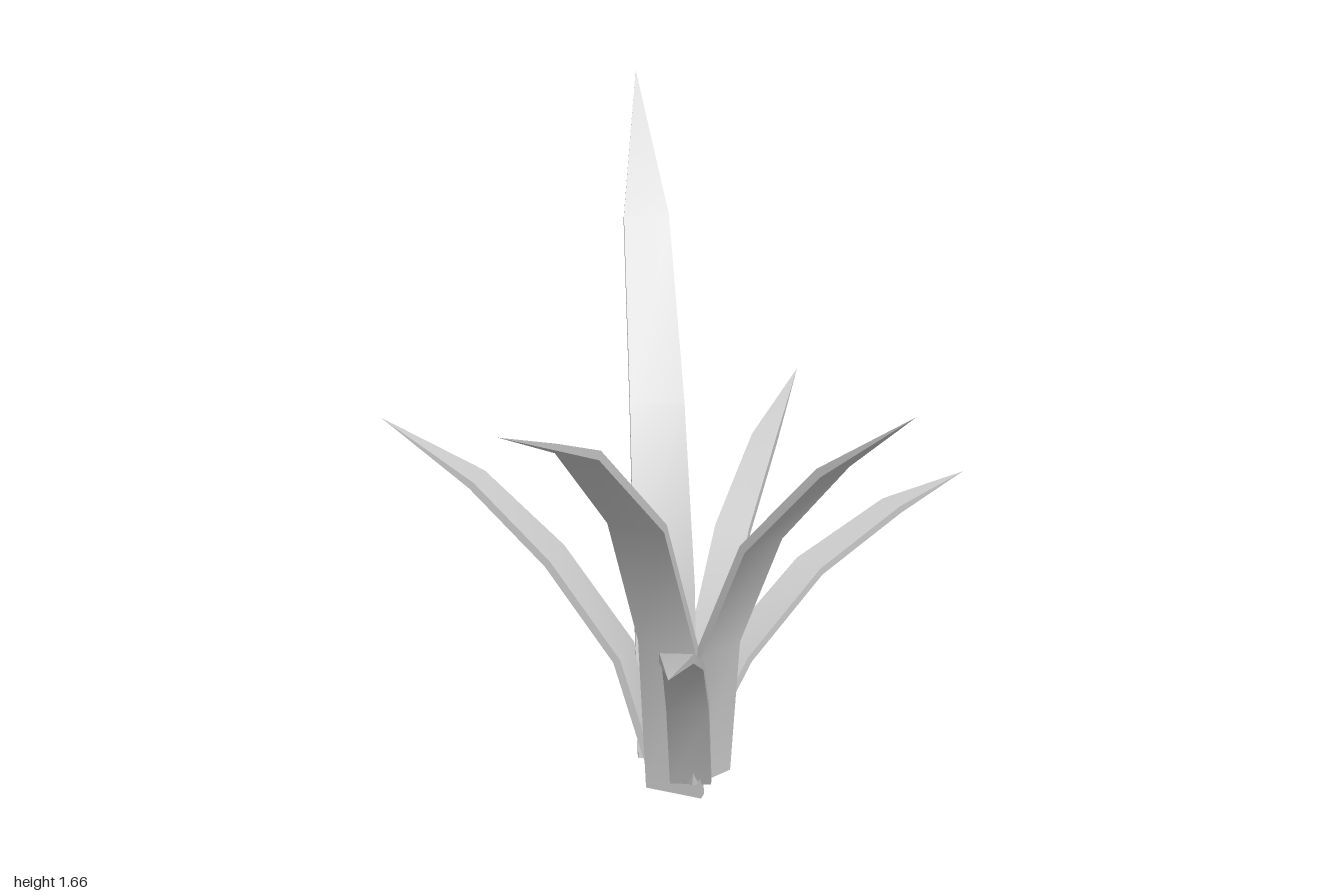
import * as THREE from 'three';
import { toCreasedNormals } from 'three/addons/utils/BufferGeometryUtils.js';

const THICKNESS = 0.022;

// base and tip: [x, z]; reach: fraction of the way out at each station;
// heights and widths: one per station (the tip has no width)
const BLADES = [
  { name: 'tallBackRightBlade', base: [-0.105, 0], tip: [-0.8, -0.53], reach: [0, 0.055, 0.28, 0.63, 1],
    heights: [0.02, 0.49, 0.94, 1.35, 1.66], widths: [0.155, 0.16, 0.143, 0.12] },
  { name: 'tallFrontBlade', base: [0.025, 0.09], tip: [0.48, 1], reach: [0, 0.045, 0.245, 0.59, 1],
    heights: [0.005, 0.47, 0.9, 1.24, 1.45], widths: [0.155, 0.155, 0.147, 0.107] },
  { name: 'tallLeftBlade', base: [0.085, 0.025], tip: [0.8, 0.065], reach: [0, 0.05, 0.275, 0.625, 1],
    heights: [0.05, 0.45, 0.81, 1.1, 1.32], widths: [0.13, 0.13, 0.122, 0.092] },
  { name: 'shortFrontLeftBlade', base: [0.07, 0.075], tip: [0.66, 0.69], reach: [0, 0.15, 0.38, 0.67, 1],
    heights: [0.05, 0.345, 0.575, 0.73, 0.83], widths: [0.108, 0.108, 0.1, 0.08] },
  { name: 'shortFrontRightBlade', base: [-0.09, 0.05], tip: [-0.74, 0.42], reach: [0, 0.12, 0.37, 0.65, 1],
    heights: [0.04, 0.345, 0.6, 0.79, 0.93], widths: [0.11, 0.11, 0.105, 0.08] },
  { name: 'shortBackRightBlade', base: [-0.05, -0.06], tip: [-0.41, -0.78], reach: [0, 0.125, 0.34, 0.655, 1],
    heights: [0.05, 0.33, 0.57, 0.73, 0.83], widths: [0.105, 0.105, 0.095, 0.07] },
  { name: 'lowBackBlade', base: [0, 0.04], tip: [0.03, -1], reach: [0, 0.185, 0.435, 0.73, 1],
    heights: [0.07, 0.32, 0.49, 0.572, 0.59], widths: [0.1, 0.1, 0.09, 0.067] },
];

// Flat strip that bends outward and tapers to a point
function bladeGeometry({ base, tip, reach, heights, widths }) {
  const spine = reach.map((r, i) => new THREE.Vector3(
    THREE.MathUtils.lerp(base[0], tip[0], r), heights[i], THREE.MathUtils.lerp(base[1], tip[1], r)));
  const side = new THREE.Vector3(tip[1] - base[1], 0, base[0] - tip[0]).normalize();
  const last = spine.length - 1;
  const positions = [], index = [];

  // Rectangular rings square to the spine
  for (let i = 0; i < last; i++) {
    const along = spine[i + 1].clone().sub(spine[i]).normalize();
    if (i > 0) along.add(spine[i].clone().sub(spine[i - 1]).normalize()).normalize();
    const normal = along.clone().cross(side);
    for (const [u, v] of [[-1, -1], [1, -1], [1, 1], [-1, 1]]) {
      const p = spine[i].clone()
        .addScaledVector(side, u * widths[i] / 2)
        .addScaledVector(normal, v * THICKNESS / 2);
      positions.push(p.x, p.y, p.z);
    }
  }
  positions.push(...spine[last].toArray());

  // Base cap, side walls, then the pointed end
  index.push(0, 2, 1, 0, 3, 2);
  for (let i = 0; i < last; i++) {
    for (let k = 0; k < 4; k++) {
      const a = i * 4 + k, b = i * 4 + (k + 1) % 4;
      if (i < last - 1) index.push(a, b, b + 4, a, b + 4, a + 4);
      else index.push(a, b, last * 4);
    }
  }
  const geometry = new THREE.BufferGeometry();
  geometry.setAttribute('position', new THREE.Float32BufferAttribute(positions, 3));
  geometry.setIndex(index);
  return toCreasedNormals(geometry, 0.7);
}

export function createModel() {
  const plant = new THREE.Group();
  plant.name = 'bladePlant';
  const material = new THREE.MeshStandardMaterial({ color: 0xcccccc });
  for (const blade of BLADES) {
    const mesh = new THREE.Mesh(bladeGeometry(blade), material);
    mesh.name = blade.name;
    plant.add(mesh);
  }
  return plant;
}
